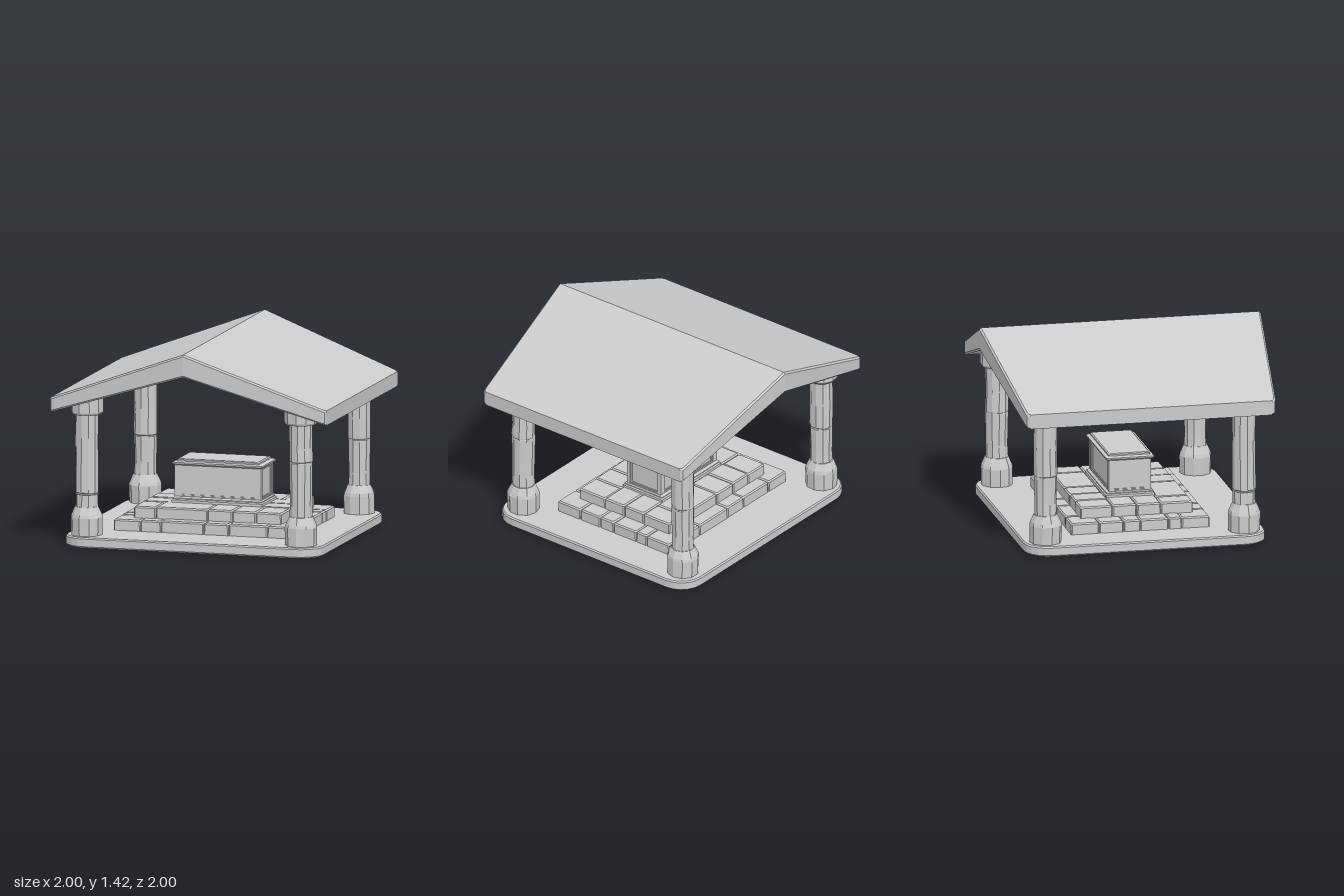
import * as THREE from 'three';

const material = new THREE.MeshStandardMaterial({ color: 0xcccccc, flatShading: true });

// Small seeded generator for weathering
let seed = 7;
const jitter = (amount) => {
  seed = (seed * 16807) % 2147483647;
  return (seed / 2147483647 - 0.5) * 2 * amount;
};

function add(parent, name, geometry) {
  const mesh = new THREE.Mesh(geometry, material);
  mesh.name = name;
  parent.add(mesh);
  return mesh;
}

// Joins rings of [x, y, z] points (counterclockwise seen from the last ring) and caps both ends
function loft(rings) {
  const n = rings[0].length;
  const out = [];
  const tri = (a, b, c) => out.push(...a, ...b, ...c);
  for (let i = 0; i < rings.length - 1; i++) {
    for (let j = 0; j < n; j++) {
      const k = (j + 1) % n;
      tri(rings[i][j], rings[i][k], rings[i + 1][k]);
      tri(rings[i][j], rings[i + 1][k], rings[i + 1][j]);
    }
  }
  const first = rings[0];
  const last = rings[rings.length - 1];
  for (let j = 1; j < n - 1; j++) {
    tri(first[0], first[j + 1], first[j]);
    tri(last[0], last[j], last[j + 1]);
  }
  const geometry = new THREE.BufferGeometry();
  geometry.setAttribute('position', new THREE.Float32BufferAttribute(out, 3));
  geometry.computeVertexNormals();
  return geometry;
}

// Horizontal rectangle ring with rounded corners
function rectRing(y, hx, hz, r = 0.005, steps = 1) {
  const ring = [];
  [[1, 1], [-1, 1], [-1, -1], [1, -1]].forEach(([sx, sz], q) => {
    for (let i = 0; i <= steps; i++) {
      const a = (q + i / steps) * Math.PI / 2;
      ring.push([sx * (hx - r) + r * Math.cos(a), y, -sz * (hz - r) - r * Math.sin(a)]);
    }
  });
  return ring;
}

// Gabled roof: cross-sections along x, widest at the ridge
function roofRing(x, halfZ, y0, y1) {
  const b = 0.012;
  return [[-halfZ + b, y0], [-halfZ, y0 + b], [-halfZ, y1 - b], [-halfZ + b, y1],
    [halfZ - b, y1], [halfZ, y1 - b], [halfZ, y0 + b], [halfZ - b, y0]].map(([z, y]) => [x, y, z]);
}

// Ten-sided weathered column, built from [height, radius] pairs
function column(name, x, z, bandY, turn) {
  const group = new THREE.Group();
  group.name = name;
  group.position.set(x, 0, z);
  const sides = 10;
  const ringed = (profile, wear) => loft(profile.map(([y, r]) => {
    const dx = jitter(wear);
    const dz = jitter(wear);
    return Array.from({ length: sides }, (_, i) => {
      const a = turn + i / sides * Math.PI * 2;
      const rr = r + jitter(wear);
      return [dx + rr * Math.cos(a), y, dz - rr * Math.sin(a)];
    });
  }));
  add(group, 'columnFoot', ringed([[0.07, 0.11], [0.2, 0.113], [0.222, 0.107], [0.275, 0.083]], 0.002));
  add(group, 'columnShaft', ringed([[0.26, 0.079], [0.36, 0.077], [bandY - 0.006, 0.082],
    [bandY, 0.078], [bandY + 0.006, 0.082], [0.75, 0.081], [0.94, 0.081]], 0.002));
  add(group, 'columnCapital', ringed([[0.925, 0.106], [0.94, 0.116], [1.05, 0.116]], 0.001));
  return group;
}

// One worn stone with bevelled edges
function stone(parent, x0, x1, z0, z1, y0, y1) {
  const hx = (x1 - x0) / 2 - 0.0015;
  const hz = (z1 - z0) / 2 - 0.0015;
  const top = y1 + jitter(0.002);
  const mesh = add(parent, 'stepStone', loft([
    rectRing(y0, hx, hz, 0.006),
    rectRing(top - 0.01, hx, hz, 0.008),
    rectRing(top, hx - 0.008, hz - 0.008, 0.008),
  ]));
  mesh.position.set((x0 + x1) / 2 + jitter(0.002), 0, (z0 + z1) / 2 + jitter(0.002));
}

// A tier of perimeter stones around a solid core
function stoneTier(name, y0, y1, xs, zs, depth) {
  const group = new THREE.Group();
  group.name = name;
  const X = xs[xs.length - 1];
  const Z = zs[zs.length - 1];
  add(group, 'stepCore', loft([rectRing(y0, X - 0.02, Z - 0.02), rectRing(y1 - 0.014, X - 0.02, Z - 0.02)]));
  for (let i = 0; i < xs.length - 1; i++) {
    stone(group, xs[i], xs[i + 1], Z - depth, Z, y0, y1);
    stone(group, -xs[i + 1], -xs[i], -Z, -Z + depth, y0, y1);
  }
  const inner = [-Z + depth, ...zs.slice(1, -1), Z - depth];
  for (let i = 0; i < inner.length - 1; i++) {
    stone(group, X - depth, X, inner[i], inner[i + 1], y0, y1);
    stone(group, -X, -X + depth, -inner[i + 1], -inner[i], y0, y1);
  }
  return group;
}

// Flat rectangular frame facing +z
function frame(hw, hh, holeW, holeH, depth) {
  const rect = (target, w, h) => target.moveTo(-w, -h).lineTo(w, -h).lineTo(w, h).lineTo(-w, h).closePath();
  const shape = rect(new THREE.Shape(), hw, hh);
  shape.holes.push(rect(new THREE.Path(), holeW, holeH));
  return new THREE.ExtrudeGeometry(shape, { depth, bevelEnabled: false });
}

// Stone chest with recessed panels and moulded foot and lid
function chest() {
  const group = new THREE.Group();
  group.name = 'chest';
  const slab = (name, rows) => add(group, name, loft(rows.map(([y, hx, hz]) => rectRing(y, hx, hz, 0.004))));
  slab('chestFoot', [[0.23, 0.33, 0.175], [0.252, 0.33, 0.175], [0.26, 0.322, 0.167],
    [0.266, 0.322, 0.167], [0.276, 0.312, 0.15]]);
  slab('chestBody', [[0.26, 0.3, 0.135], [0.51, 0.3, 0.135]]);
  slab('chestLid', [[0.495, 0.312, 0.15], [0.503, 0.325, 0.165], [0.507, 0.328, 0.171], [0.517, 0.328, 0.171],
    [0.522, 0.315, 0.16], [0.524, 0.296, 0.148], [0.534, 0.296, 0.148], [0.54, 0.288, 0.14]]);
  for (let i = 0; i < 4; i++) {
    const side = i % 2;
    const hw = side ? 0.15 : 0.314;
    const open = side ? 0.122 : 0.268;
    const pivot = new THREE.Group();
    pivot.name = 'chestPanel';
    pivot.rotation.y = i * Math.PI / 2;
    const z = side ? 0.299 : 0.134;
    add(pivot, 'panelFrame', frame(hw, 0.12, open, 0.105, 0.015)).position.set(0, 0.385, z);
    add(pivot, 'panelLip', frame(open + 0.002, 0.107, open - 0.009, 0.096, 0.008)).position.set(0, 0.385, z);
    group.add(pivot);
  }
  return group;
}

export function createModel() {
  const model = new THREE.Group();
  model.name = 'shrine';

  // Ground slab with rounded corners
  add(model, 'groundSlab', loft([rectRing(0, 0.915, 0.84, 0.16, 5), rectRing(0.012, 0.93, 0.855, 0.17, 5),
    rectRing(0.065, 0.93, 0.855, 0.17, 5), rectRing(0.075, 0.922, 0.847, 0.165, 5)]));

  // Two stone steps
  model.add(stoneTier('lowerStep', 0.07, 0.155, [-0.655, -0.46, -0.31, 0, 0.18, 0.46, 0.655],
    [-0.493, -0.2, 0, 0.12, 0.493], 0.2));
  model.add(stoneTier('upperStep', 0.15, 0.235, [-0.535, -0.375, 0, 0.18, 0.35, 0.535],
    [-0.4, 0, 0.4], 0.23));

  model.add(chest());

  // Four corner columns
  model.add(column('frontRightColumn', -0.78, 0.706, 0.37, 0.1));
  model.add(column('frontLeftColumn', 0.768, 0.706, 0.66, 0.3));
  model.add(column('backRightColumn', -0.78, -0.704, 0.55, 0.2));
  model.add(column('backLeftColumn', 0.768, -0.704, 0.6, 0));

  // Roof
  add(model, 'roof', loft([
    roofRing(-1, 0.865, 0.95, 1.053), roofRing(-0.99, 0.881, 0.953, 1.057), roofRing(-0.965, 0.889, 0.961, 1.066),
    roofRing(0, 1, 1.26, 1.42),
    roofRing(0.965, 0.889, 0.961, 1.066), roofRing(0.99, 0.881, 0.953, 1.057), roofRing(1, 0.865, 0.95, 1.053),
  ]));

  return model;
}
